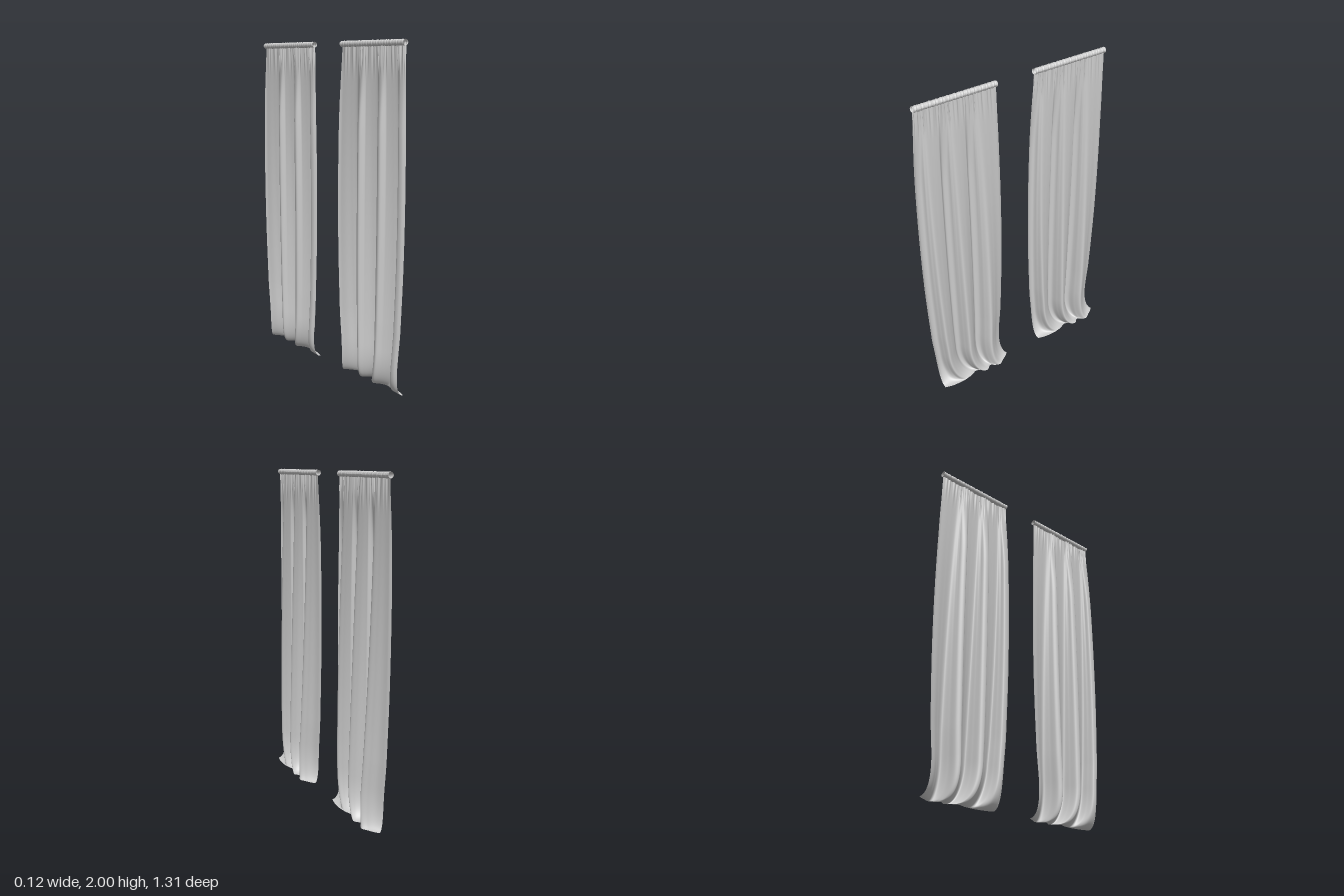
import * as THREE from 'three';

const material = new THREE.MeshStandardMaterial({ color: 0xcccccc, side: THREE.DoubleSide });
const { smoothstep, lerp } = THREE.MathUtils;

const HEADER_X = -0.037;   // plane of the rod pocket
const MID_Z = 0.378;       // middle of one panel
const SPACING = 0.756;     // distance between the panels
const TOP = 1.968;         // where the cloth leaves the rod pocket
const CURL = 0.24;         // height of the sweep at the hem

const curve = (pairs) => new THREE.CatmullRomCurve3(
  pairs.map(([z, x]) => new THREE.Vector3(x, 0, z)), false, 'centripetal');

// Fold cross-section [z, x]: three pleats leaning over to one side
const folds = curve([
  [0.118, -0.045], [0.16, -0.02], [0.2, 0.015], [0.242, 0.043], [0.265, 0.0],
  [0.28, -0.05], [0.305, -0.063], [0.33, -0.035], [0.37, 0.01], [0.408, 0.033],
  [0.425, -0.01], [0.44, -0.055], [0.465, -0.063], [0.49, -0.035], [0.53, 0.0],
  [0.565, 0.02], [0.58, -0.02], [0.595, -0.057], [0.62, -0.058], [0.638, -0.045],
]);

// Hem line on the floor [z, x], point for point with the folds
const hem = curve([
  [0.105, 0.0], [0.13, 0.02], [0.165, 0.04], [0.2, 0.06], [0.235, 0.047],
  [0.255, 0.03], [0.265, 0.03], [0.28, 0.04], [0.29, 0.05], [0.305, 0.053],
  [0.33, 0.032], [0.35, 0.02], [0.37, 0.015], [0.385, 0.02], [0.41, 0.03],
  [0.44, 0.036], [0.48, 0.04], [0.53, 0.037], [0.57, 0.03], [0.605, 0.018],
]);

// Half width of the panel by height: y, half width
const widths = new THREE.SplineCurve([
  [0, 0.232], [0.2, 0.242], [0.4, 0.26], [0.8, 0.275], [1.2, 0.278], [1.6, 0.27], [2, 0.252],
].map(([y, w]) => new THREE.Vector2(y, w)));
const widthAt = (y) => {
  const stops = widths.points;
  let i = 0;
  while (i < stops.length - 2 && y > stops[i + 1].x) i++;
  const f = (y - stops[i].x) / (stops[i + 1].x - stops[i].x);
  return widths.getPoint((i + f) / (stops.length - 1)).y;
};

// Irregular small gathers along the header
const gather = (u, k = 0) =>
  0.5 * Math.sin(u * 151 + k) + 0.35 * Math.sin(u * 233 + 1.7 + 2 * k) + 0.3 * Math.sin(u * 89 + 0.6 - k);

// Grid surface from a rule (u, v) -> [x, y, z]
function sheet(nu, nv, rule) {
  const positions = [], index = [];
  for (let j = 0; j <= nv; j++) {
    for (let i = 0; i <= nu; i++) {
      positions.push(...rule(i / nu, j / nv));
      if (i < nu && j < nv) {
        const a = j * (nu + 1) + i, b = a + nu + 1;
        index.push(a, a + 1, b, b, a + 1, b + 1);
      }
    }
  }
  const geometry = new THREE.BufferGeometry();
  geometry.setAttribute('position', new THREE.Float32BufferAttribute(positions, 3));
  geometry.setIndex(index);
  geometry.computeVertexNormals();
  return geometry;
}

// Hanging cloth: folds deepen downwards, then sweep out into the hem
function clothPoint(u, v) {
  const a = Math.max(0, (v - 0.75) / 0.25) * Math.PI / 2;
  const y = v < 0.75 ? lerp(TOP, CURL, v / 0.75) : CURL * (1 - Math.sin(a)) + 0.004;
  const drop = 1 - y / TOP;
  const fold = folds.getPoint(u);
  const depth = fold.x - HEADER_X;
  const grow = depth > 0 ? 0.08 + drop * 0.95 : 0.15 + 0.85 * smoothstep(drop, 0, 0.25);
  const ruffle = 0.005 * gather(u) * (1 - smoothstep(drop, 0, 0.1));
  const x = HEADER_X + depth * grow + ruffle;
  const z = MID_Z + (fold.z - MID_Z) / 0.26 * widthAt(y);
  const sweep = 1 - Math.cos(a);
  const end = hem.getPoint(u);
  return [lerp(x, end.x, sweep ** 1.5), y, lerp(z, end.z, sweep)];
}

// Rod pocket: open, crinkled sleeve along the top
function sleevePoint(u, v) {
  const a = v * Math.PI * 2;
  const r = 0.0165 + 0.0018 * gather(u, Math.sin(a));
  return [HEADER_X + r * Math.cos(a), 1.982 + r * Math.sin(a), lerp(0.122, 0.63, u)];
}

export function createModel() {
  const model = new THREE.Group();
  model.name = 'curtains';
  const parts = {
    cloth: sheet(200, 90, clothPoint),
    rodPocket: sheet(200, 16, sleevePoint),
  };
  ['frontCurtain', 'backCurtain'].forEach((name, i) => {
    const panel = new THREE.Group();
    panel.name = name;
    panel.position.z = -SPACING * i;
    for (const [part, geometry] of Object.entries(parts)) {
      const mesh = new THREE.Mesh(geometry, material);
      mesh.name = part;
      panel.add(mesh);
    }
    model.add(panel);
  });
  return model;
}
